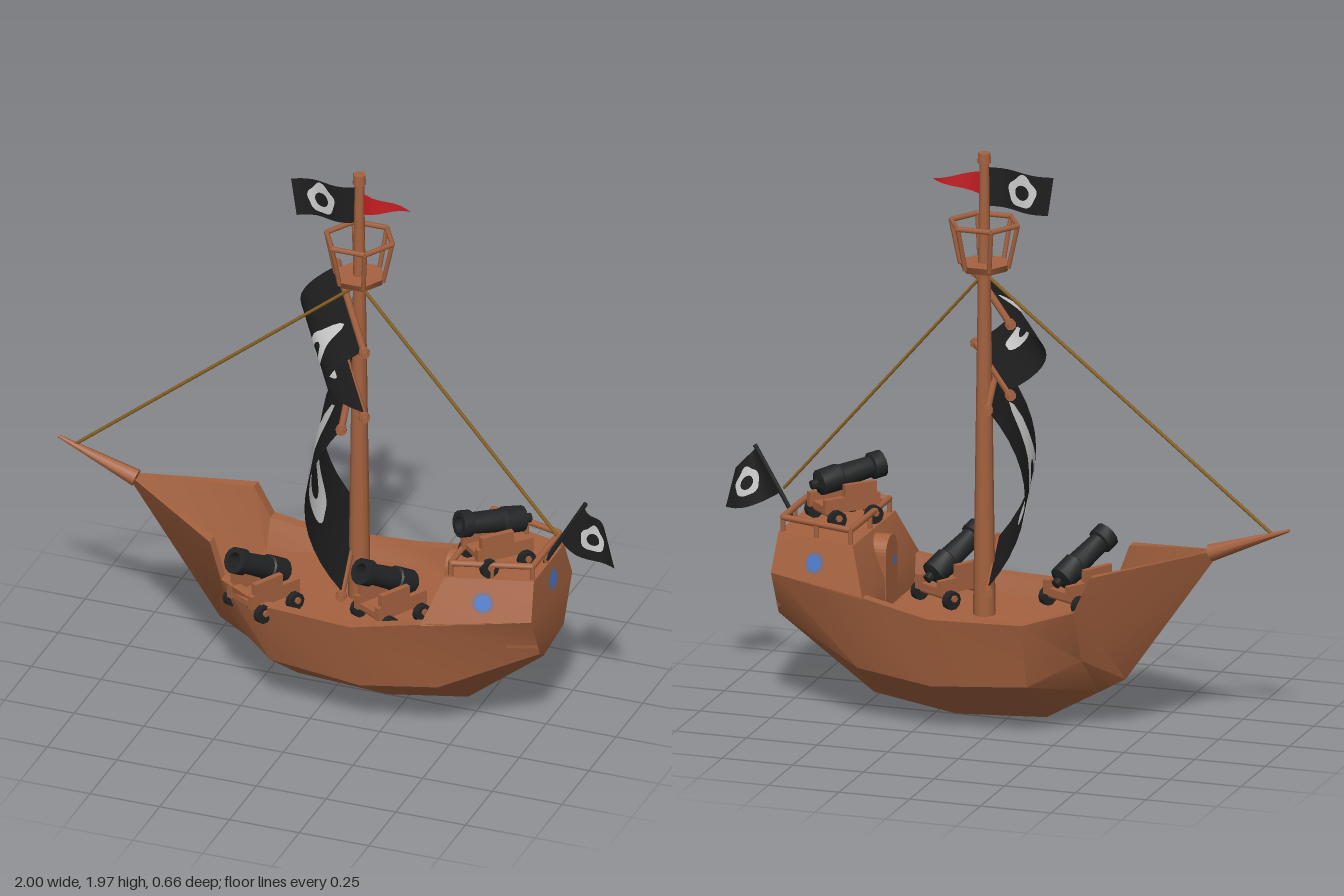
import * as THREE from 'three';
import { toCreasedNormals } from 'three/addons/utils/BufferGeometryUtils.js';

const mat = (name, color, side = THREE.FrontSide) =>
  Object.assign(new THREE.MeshStandardMaterial({ color, side }), { name });
const V = (x, y, z) => new THREE.Vector3(x, y, z);

export function createModel() {
  const wood = mat('wood', 0xa5623f, THREE.DoubleSide);
  const black = mat('black cloth', 0x1e1e1e, THREE.DoubleSide);
  const white = mat('emblem grey', 0xd2d2d2, THREE.DoubleSide);
  const red = mat('red cloth', 0xc41e22, THREE.DoubleSide);
  const iron = mat('iron', 0x222324);
  const rope = mat('rope', 0x8a6222);
  const blue = mat('blue glass', 0x4a78c8, THREE.DoubleSide);
  const rim = mat('window rim', 0x7a6a78, THREE.DoubleSide);
  const ship = new THREE.Group();
  ship.name = 'ship';

  const add = (name, geo, m, parent = ship) => {
    const mesh = new THREE.Mesh(geo, m);
    mesh.name = name;
    parent.add(mesh);
    return mesh;
  };
  // Surface through a grid of points given row by row
  const grid = (rows, crease = 0.5) => {
    const n = rows[0].length, idx = [], g = new THREE.BufferGeometry();
    for (let i = 0; i < rows.length - 1; i++)
      for (let j = 0; j < n - 1; j++) {
        const a = i * n + j, b = a + n;
        idx.push(a, b, a + 1, b, b + 1, a + 1);
      }
    g.setAttribute('position', new THREE.Float32BufferAttribute(rows.flat(2), 3));
    g.setIndex(idx);
    return toCreasedNormals(g.toNonIndexed(), crease);
  };
  const flip = pts => pts.map(([x, y, z]) => [x, y, -z]);
  const loft = sections => grid(sections.map(s => [...flip(s).reverse(), ...s.slice(1)]));
  const cap = pts => grid([pts, flip(pts)]);
  // Round bar between two points
  const bar = (name, a, b, r0, r1 = r0, m = wood, sides = 8, parent = ship) => {
    const d = b.clone().sub(a);
    const mesh = add(name, new THREE.CylinderGeometry(r1, r0, d.length(), sides), m, parent);
    mesh.position.copy(a).addScaledVector(d, 0.5);
    mesh.quaternion.setFromUnitVectors(V(0, 1, 0), d.normalize());
    return mesh;
  };

  // Hull: keel, chine, rim outside, rim inside, deck edge, deck centre
  const tip = [-0.76, 0.665, 0], D = 0.36;
  const station = (kx, ky, cx, cy, cz, sx, sy, sz, dz) => [
    [kx, ky, 0], [cx, cy, cz], [sx, sy, sz], [sx, sy, sz - 0.04], [sx, D, dz], [sx, D, 0]];
  const stern = station(0.74, 0.26, 0.77, 0.33, 0.11, 0.77, 0.49, 0.19, 0.13);
  add('hull', loft([
    Array(6).fill(tip),
    station(-0.42, 0.18, -0.37, 0.34, 0.13, -0.37, 0.59, 0.225, 0.12),
    station(-0.33, 0.128, -0.32, 0.28, 0.165, -0.32, 0.47, 0.25, 0.17),
    station(-0.14, 0.02, -0.15, 0.19, 0.235, -0.15, 0.42, 0.29, 0.23),
    station(0.18, 0.002, 0.18, 0.17, 0.26, 0.17, 0.42, 0.32, 0.26),
    station(0.47, 0.05, 0.45, 0.2, 0.23, 0.41, 0.465, 0.295, 0.24),
    stern]), wood);
  bar('bowsprit', V(-0.72, 0.65, 0), V(-1, 0.755, 0), 0.03, 0.005);

  // Stern cabin with its end walls
  const front = [[0.41, 0.46, 0.295], [0.47, 0.62, 0.22], [0.47, 0.62, 0]];
  const back = [[0.77, 0.49, 0.19], [0.76, 0.62, 0.14], [0.76, 0.62, 0]];
  for (const s of [1, -1])
    add('cabinSide', grid([front, back].map(r => r.map(([x, y, z]) => [x, y, z * s]))), wood);
  add('cabinFront', cap([[0.41, D, 0.24], ...front.slice(0, 2)]), wood);
  add('transom', cap([...stern.slice(0, 3), back[1]]), wood);

  // Arched door
  const arch = new THREE.Shape();
  arch.moveTo(-0.06, D);
  arch.lineTo(0.06, D);
  arch.lineTo(0.06, 0.545);
  arch.absarc(0, 0.545, 0.06, 0, Math.PI, false);
  const door = add('door', new THREE.ExtrudeGeometry(arch, { depth: 0.07, bevelEnabled: false, curveSegments: 8 }), wood);
  door.rotation.y = Math.PI / 2;
  door.position.x = 0.408;

  // Round windows
  const porthole = (p, n, r) => {
    const g = new THREE.Group();
    g.name = 'porthole';
    add('windowRim', new THREE.CircleGeometry(r, 20), rim, g);
    add('windowGlass', new THREE.CircleGeometry(r * 0.72, 20), blue, g).position.z = 0.003;
    g.position.copy(p).addScaledVector(n, 0.006);
    g.lookAt(g.position.clone().add(n));
    ship.add(g);
  };
  for (const s of [1, -1]) porthole(V(0.605, 0.545, 0.212 * s), V(0.26, 0.335, 0.905 * s), 0.038);
  porthole(V(0.768, 0.56, 0), V(1, 0.08, 0).normalize(), 0.042);
  porthole(V(0.404, 0.52, 0), V(-1, 0, 0), 0.02);

  // Poop railing
  const corners = [V(0.485, 0.668, 0.2), V(0.485, 0.668, -0.2), V(0.75, 0.668, -0.125), V(0.75, 0.668, 0.125)];
  corners.forEach((a, i) => {
    const b = corners[(i + 1) % 4];
    bar('railing', a, b, 0.011);
    for (const t of [0, 0.5]) {
      const p = a.clone().lerp(b, t);
      bar('railPost', V(p.x, 0.61, p.z), V(p.x, 0.675, p.z), 0.009);
    }
  });

  // Mast with cap and lookout basket
  bar('mast', V(0.08, D, 0), V(0.08, 1.95, 0), 0.038, 0.016, wood, 10);
  bar('mastCap', V(0.08, 1.935, 0), V(0.08, 1.97, 0), 0.024, 0.022);
  const basket = new THREE.Group();
  basket.name = 'lookout';
  basket.position.x = 0.08;
  ship.add(basket);
  const floor = add('lookoutFloor', new THREE.CylinderGeometry(0.092, 0.08, 0.025, 6), wood, basket);
  floor.position.y = 1.575;
  floor.rotation.y = Math.PI / 2;
  const hex = (i, r, y) => V(Math.cos(i * Math.PI / 3) * r, y, Math.sin(i * Math.PI / 3) * r);
  for (let i = 0; i < 6; i++) {
    bar('lookoutPost', hex(i, 0.085, 1.575), hex(i, 0.118, 1.725), 0.008, 0.008, wood, 6, basket);
    bar('lookoutRail', hex(i, 0.118, 1.725), hex(i + 1, 0.118, 1.725), 0.009, 0.009, wood, 6, basket);
  }

  // Stays
  bar('foreStay', V(0.08, 1.55, 0), V(-0.94, 0.735, 0), 0.006, 0.006, rope, 6);
  bar('backStay', V(0.08, 1.55, 0), V(0.79, 0.73, 0), 0.006, 0.006, rope, 6);

  // Cloth patch from a surface function of (u, v, offset)
  const cloth = (name, surf, m, nu = 10, nv = 12) => {
    const rows = [];
    for (let i = 0; i <= nu; i++) {
      rows.push([]);
      for (let j = 0; j <= nv; j++) rows[i].push(surf(i / nu, j / nv, 0));
    }
    add(name, grid(rows, 1), m);
  };
  // Ring emblem with a peak, laid on both sides of a cloth
  const emblem = (surf, cu, cv, ru, rv, peak) => {
    for (const w of [0.004, -0.004]) {
      const rows = [];
      for (let i = 0; i <= 36; i++) {
        const a = i / 36 * Math.PI * 2, s = Math.sin(a);
        const outer = 1 + peak * Math.max(0, s) ** 10 + 0.05 * Math.sin(5 * a);
        rows.push([0, 1, 2, 3, 4].map(k => {
          const r = 0.5 + (outer - 0.5) * k / 4;
          return surf(cu + Math.cos(a) * r * ru, cv + s * r * rv, w);
        }));
      }
      add('emblem', grid(rows, 1), white);
    }
  };

  // Square sails between slanted yards
  const sail = (dx, dz, yTop, yBot, yards, depth, mark) => {
    const L = Math.hypot(dx, dz), nx = -dz / L, nz = dx / L;
    const cx = 0.08 + nx * 0.03, cz = nz * 0.03, k = 0.9;
    const surf = (u, v, w) => {
      const t = (2 * u - 1) * k, b = depth * 4 * v * (1 - v) + w;
      return [cx + dx * t + nx * b, yBot + (yTop - yBot) * v, cz + dz * t + nz * b];
    };
    cloth('sail', surf, black);
    emblem(surf, ...mark);
    for (const y of yards) {
      const at = t => V(cx + dx * t, y, cz + dz * t);
      bar('yard', at(-1), at(1), 0.012);
      for (const s of [-1, 1]) bar('yardCollar', at(0.91 * s), at(0.96 * s), 0.019);
    }
  };
  sail(0.165, 0.29, 1.46, 1.225, [1.46, 1.212], 0.125, [0.63, 0.48, 0.15, 0.34, 0.3]);
  sail(0.09, 0.325, 1.16, 0.54, [1.165, 0.53], 0.125, [0.54, 0.45, 0.26, 0.235, 0.85]);

  // Mast flag and pennant
  const flag = (u, v, w) => [0.075 - 0.22 * u - 0.02 * u * v, 1.785 + 0.135 * v - 0.015 * u,
    0.015 * Math.sin(u * 6.3) + w];
  cloth('mastFlag', flag, black);
  emblem(flag, 0.57, 0.5, 0.23, 0.38, 0.2);
  cloth('pennant', (u, v) => [0.085 + 0.18 * u, 1.862 + (v - 0.5) * 0.085 * (1 - u), 0.012 * Math.sin(u * 6.3)], red, 8, 1);

  // Stern flag on its slanted pole
  bar('sternFlagPole', V(0.745, 0.62, 0), V(0.892, 0.872, 0), 0.008, 0.008, iron);
  const sternFlag = (u, v, w) => [
    0.8 + 0.085 * v + u * (0.195 - 0.12 * v), 0.715 + 0.15 * v - u * (0.07 + 0.01 * v) - 0.02 * Math.sin(u * 3.14) * (1 - v),
    0.015 * Math.sin(u * 6.3) + w];
  cloth('sternFlag', sternFlag, black);
  emblem(sternFlag, 0.56, 0.5, 0.27, 0.27, 0.2);

  // Cannons on wheeled carriages, muzzle along local +z
  const profile = [[0, -0.14], [0.016, -0.135], [0.016, -0.115], [0.044, -0.105], [0.046, -0.03], [0.04, -0.025],
    [0.036, 0.09], [0.046, 0.095], [0.046, 0.135], [0.027, 0.135], [0.027, 0.08], [0, 0.08]]
    .map(p => new THREE.Vector2(...p));
  const cannon = (x, y, z, yaw, pitch) => {
    const g = new THREE.Group();
    g.name = 'cannon';
    g.position.set(x, y, z);
    g.rotation.y = yaw;
    const barrel = add('barrel', toCreasedNormals(new THREE.LatheGeometry(profile, 12), 0.6), iron, g);
    barrel.position.y = 0.16;
    barrel.rotation.x = Math.PI / 2 - pitch;
    const box = (name, w, h, d, px, py, pz) =>
      add(name, new THREE.BoxGeometry(w, h, d), wood, g).position.set(px, py, pz);
    box('carriageBed', 0.1, 0.02, 0.19, 0, 0.06, -0.01);
    for (const s of [-1, 1]) {
      box('cheek', 0.02, 0.05, 0.21, 0.055 * s, 0.075, -0.01);
      box('cheekStep', 0.02, 0.045, 0.12, 0.055 * s, 0.12, 0.02);
      for (const wz of [-0.08, 0.06])
        bar('wheel', V(0.068 * s, 0.032, wz), V(0.092 * s, 0.032, wz), 0.032, 0.032, iron, 10, g);
    }
    for (const wz of [-0.08, 0.06])
      bar('axle', V(-0.1, 0.04, wz), V(0.1, 0.04, wz), 0.012, 0.012, wood, 6, g);
    ship.add(g);
  };
  cannon(-0.195, D, 0.2, -0.5, 0.5);
  cannon(0.23, D, 0.12, -0.52, 0.5);
  cannon(0.59, 0.62, 0.065, -0.74, 0.15);
  return ship;
}
